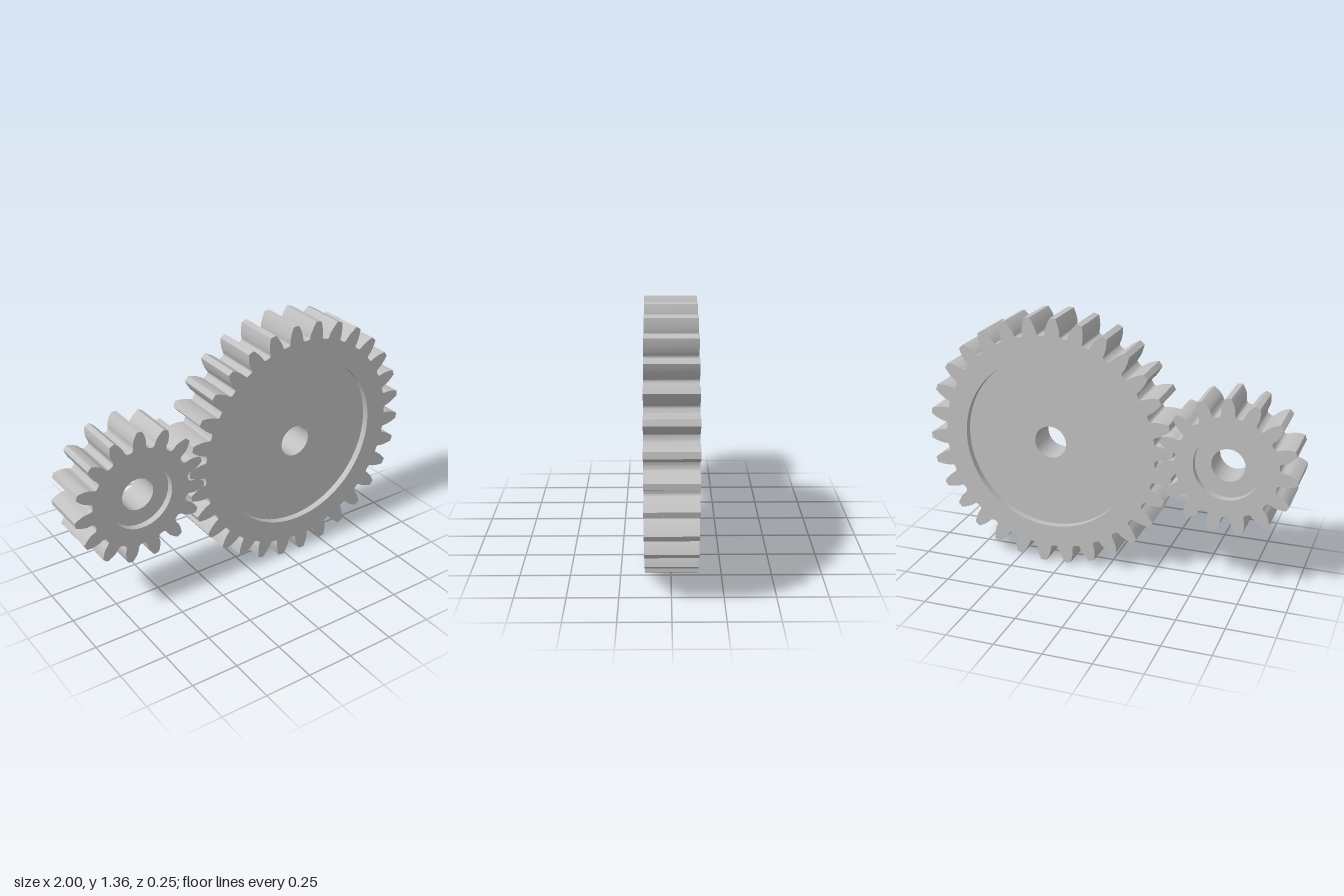
import * as THREE from 'three';
import { toCreasedNormals } from 'three/addons/utils/BufferGeometryUtils.js';

const M = 0.04255;        // gear module (pitch diameter / teeth)
const WIDTH = 0.254;      // face width
const RECESS = 0.037;     // depth of the recess on each side
const BORE = 0.087;
const PRESSURE = THREE.MathUtils.degToRad(20);
const AXLE_Y = 0.681;

const involute = (a) => Math.tan(a) - a;
const polar = (r, a) => new THREE.Vector2(r * Math.cos(a), r * Math.sin(a));

// Right half of one tooth, from the middle of the root gap up to the tip (angles from the tooth axis)
function halfTooth(teeth) {
  const pitch = M * teeth / 2;
  const base = pitch * Math.cos(PRESSURE);
  const tip = pitch + M;
  const root = pitch - 1.25 * M;
  const start = Math.max(base, root + 0.35 * M);
  const halfAngle = (r) =>
    Math.PI / (2 * teeth) + involute(PRESSURE) - involute(Math.acos(Math.min(1, base / r))) - 0.002 * M / pitch;
  const foot = halfAngle(start);
  const gap = Math.PI / teeth;

  // rounded root fillet
  const fillet = new THREE.QuadraticBezierCurve(
    polar(root, -(foot + 0.75 * (gap - foot))), polar(root, -foot), polar(start, -foot));
  const points = [polar(root, -gap), ...fillet.getPoints(6)];
  // involute flank
  for (let i = 1; i <= 8; i++) {
    const r = start + (tip - start) * i / 8;
    points.push(polar(r, -halfAngle(r)));
  }
  points.push(polar(tip, 0));
  return points;
}

function gearOutline(teeth, phase) {
  const half = halfTooth(teeth);
  const mirrored = half.slice(1, -1).reverse().map((p) => new THREE.Vector2(p.x, -p.y));
  const tooth = [...half, ...mirrored];
  const origin = new THREE.Vector2();
  const outline = [];
  for (let i = 0; i < teeth; i++) {
    const angle = phase + i * 2 * Math.PI / teeth;
    for (const p of tooth) outline.push(p.clone().rotateAround(origin, angle));
  }
  return new THREE.Shape(outline);
}

// Extrudes a shape with a round hole, centred on z = 0
function plate(name, shape, holeRadius, depth, material) {
  shape.holes.push(new THREE.Path().absarc(0, 0, holeRadius, 0, Math.PI * 2, true));
  const geometry = new THREE.ExtrudeGeometry(shape, { depth, bevelEnabled: false, curveSegments: 48 });
  geometry.translate(0, 0, -depth / 2);
  const mesh = new THREE.Mesh(toCreasedNormals(geometry, 0.5), material);
  mesh.name = name;
  return mesh;
}

function gear(name, teeth, phaseDegrees, recessRadius, x, material) {
  const group = new THREE.Group();
  group.name = name;
  const phase = THREE.MathUtils.degToRad(phaseDegrees);
  const disc = new THREE.Shape().absarc(0, 0, recessRadius, 0, Math.PI * 2, false);
  group.add(
    plate('toothedRim', gearOutline(teeth, phase), recessRadius, WIDTH, material),
    plate('recessedWeb', disc, BORE, WIDTH - 2 * RECESS, material)
  );
  group.position.set(x, AXLE_Y, 0);
  return group;
}

export function createModel() {
  const steel = new THREE.MeshStandardMaterial({ color: 0xc0c0c0 });
  steel.name = 'steelGrey';

  const model = new THREE.Group();
  model.name = 'gearPair';
  model.add(
    gear('largeGear', 30, 93.4, 0.469, 0.319, steel),
    gear('smallGear', 15, 89.2, 0.173, -0.638, steel)
  );
  return model;
}
